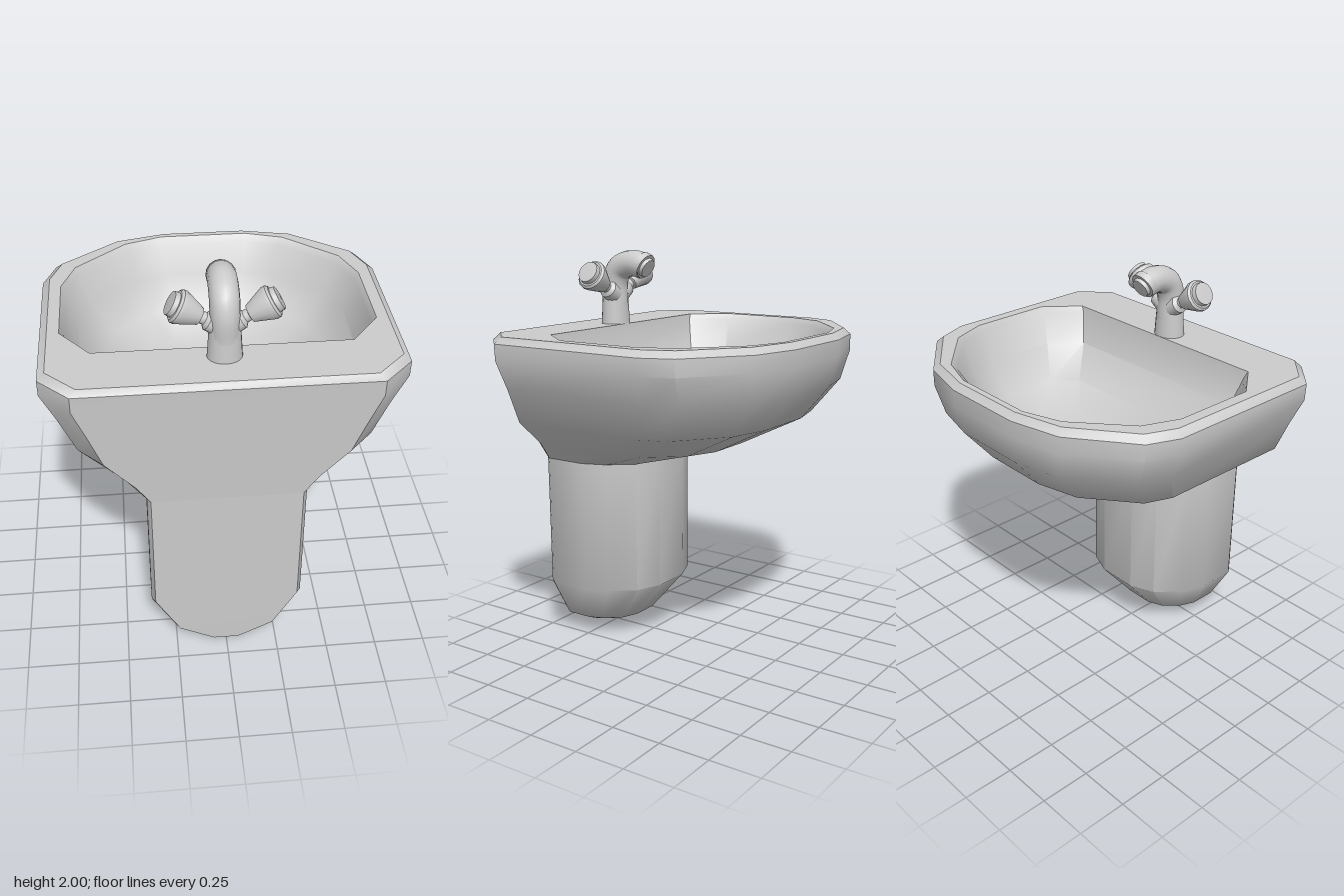
import * as THREE from 'three';
import { toCreasedNormals } from 'three/addons/utils/BufferGeometryUtils.js';

const material = new THREE.MeshStandardMaterial({ color: 0xcccccc, roughness: 0.6 });

// Half outlines, bowl end to wall end: x as share of half width, z from 0 (bowl end) to 1 (wall)
const RIM = [[0.26, 0], [0.57, 0.043], [0.926, 0.2], [1, 0.31], [1, 0.9], [0.827, 1]];
const BASIN = [[0.3, 0], [0.56, 0.06], [0.907, 0.27], [1, 0.44], [1, 0.835], [0.81, 1]];
const COLUMN = [[0.28, 0], [0.62, 0.1], [0.88, 0.33], [1, 0.55], [1, 0.95], [0.95, 1]];

const blend = (a, b, t) => a.map(([x, z], i) => [x + (b[i][0] - x) * t, z + (b[i][1] - z) * t]);

// Full mirrored ring of points at height y
function ring(outline, y, halfWidth, zBowl, zWall) {
  const half = outline.map(([x, z]) => [x * halfWidth, y, zBowl + (zWall - zBowl) * z]);
  return [...half, ...half.slice().reverse().map(([x, h, z]) => [-x, h, z])];
}

// Skin over successive rings, closed at both ends
function loft(rings, crease) {
  const n = rings[0].length;
  const positions = rings.flat(2);
  const index = [];
  for (let i = 0; i < rings.length - 1; i++) {
    for (let j = 0; j < n; j++) {
      const a = i * n + j, b = i * n + (j + 1) % n;
      index.push(a, a + n, b, b, a + n, b + n);
    }
  }
  [0, rings.length - 1].forEach((r, end) => {
    const centre = positions.length / 3;
    for (let k = 0; k < 3; k++) positions.push(rings[r].reduce((s, p) => s + p[k], 0) / n);
    for (let j = 0; j < n; j++) {
      const a = r * n + j, b = r * n + (j + 1) % n;
      if (end) index.push(centre, b, a);
      else index.push(centre, a, b);
    }
  });
  const geometry = new THREE.BufferGeometry();
  geometry.setAttribute('position', new THREE.Float32BufferAttribute(positions, 3));
  geometry.setIndex(index);
  return toCreasedNormals(geometry, crease);
}

function add(parent, name, geometry) {
  const mesh = new THREE.Mesh(geometry, material);
  mesh.name = name;
  parent.add(mesh);
  return mesh;
}

const lathe = (points, sides) =>
  toCreasedNormals(new THREE.LatheGeometry(points.map(([r, y]) => new THREE.Vector2(r, y)), sides), 0.6);

function createTap() {
  const tap = new THREE.Group();
  tap.name = 'tap';

  // Slightly oval upright body
  const body = add(tap, 'tapBody', new THREE.CylinderGeometry(0.066, 0.08, 0.22, 20));
  body.scale.z = 0.88;
  body.position.set(0, 1.72, 0.475);

  // Spout bending over the bowl, with a nozzle at its tip
  const path = new THREE.CatmullRomCurve3(
    [[1.72, 0.475], [1.84, 0.475], [1.905, 0.445], [1.935, 0.365], [1.922, 0.285]]
      .map(([y, z]) => new THREE.Vector3(0, y, z)));
  add(tap, 'spout', new THREE.TubeGeometry(path, 20, 0.066, 16));
  const nozzle = add(tap, 'nozzle', lathe([[0, -0.03], [0.066, -0.03], [0.066, 0.004], [0.05, 0.004], [0.047, 0.022], [0, 0.022]], 16));
  nozzle.position.set(0, 1.92, 0.285);
  nozzle.quaternion.setFromUnitVectors(new THREE.Vector3(0, 1, 0), new THREE.Vector3(0, -0.45, -0.89).normalize());

  // Two flared handles, tilted up and outwards
  const handle = lathe([[0.05, 0.03], [0.046, 0.085], [0.028, 0.1], [0.028, 0.122], [0.04, 0.125],
    [0.076, 0.218], [0.076, 0.235], [0.066, 0.245], [0.057, 0.246], [0.054, 0.268], [0, 0.272]], 16);
  for (const side of [1, -1]) {
    const mesh = add(tap, side > 0 ? 'leftHandle' : 'rightHandle', handle);
    mesh.position.set(0, 1.765, 0.465);
    mesh.rotation.z = -side * 1.04;
  }
  return tap;
}

export function createModel() {
  const model = new THREE.Group();
  model.name = 'pedestalWashbasin';

  // Pedestal tapering to a small foot near the wall
  add(model, 'pedestal', loft([
    ring(COLUMN, 0, 0.065, 0.54, 0.645),
    ring(COLUMN, 0.09, 0.245, 0.31, 0.647),
    ring(COLUMN, 0.3, 0.37, 0.135, 0.65),
    ring(COLUMN, 0.98, 0.37, 0.135, 0.655),
  ], 0.75));

  // Basin: underside, rim and hollow in one skin
  add(model, 'basin', loft([
    ring(COLUMN, 0.965, 0.37, 0.13, 0.655),
    ring(blend(COLUMN, RIM, 0.5), 1.06, 0.467, -0.22, 0.66),
    ring(RIM, 1.21, 0.665, -0.52, 0.668),
    ring(RIM, 1.38, 0.742, -0.66, 0.678),
    ring(RIM, 1.52, 0.81, -0.69, 0.685),
    ring(RIM, 1.6, 0.81, -0.69, 0.69),
    ring(RIM, 1.63, 0.775, -0.66, 0.67),
    ring(BASIN, 1.63, 0.72, -0.63, 0.405),
    ring(BASIN, 1.6, 0.7, -0.6, 0.4),
    ring(BASIN, 1.45, 0.645, -0.56, 0.36),
    ring(BASIN, 1.3, 0.52, -0.46, 0.24),
    ring(BASIN, 1.2, 0.32, -0.31, 0.1),
    ring(BASIN, 1.17, 0.1, -0.18, -0.02),
  ], 0.65));

  // Low domed plug over the drain
  const plug = add(model, 'drainPlug', new THREE.SphereGeometry(0.085, 20, 8, 0, Math.PI * 2, 0, Math.PI / 2));
  plug.scale.y = 0.25;
  plug.position.set(0, 1.175, -0.1);

  model.add(createTap());
  return model;
}
